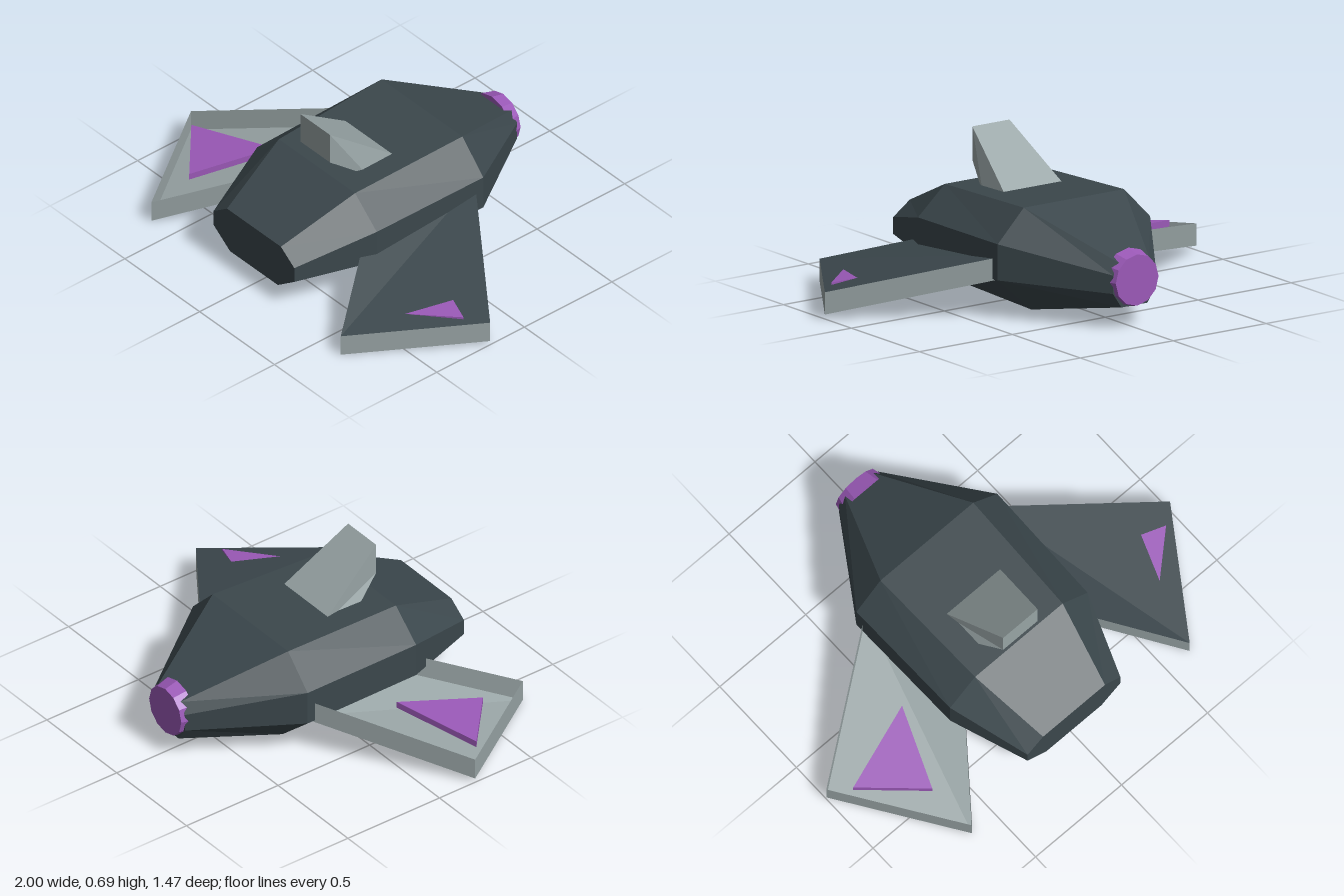
import * as THREE from 'three';

const flat = (name, color, extra = {}) => Object.assign(
  new THREE.MeshStandardMaterial({ color, flatShading: true, ...extra }), { name });

// Skin a stack of matching rings; each ring is counter-clockwise seen from the first end.
function loft(rings, capStart = true, capEnd = true) {
  const n = rings[0].length;
  const pos = [];
  const tri = (a, b, c) => pos.push(...a, ...b, ...c);
  for (let i = 0; i < rings.length - 1; i++) {
    for (let j = 0; j < n; j++) {
      const k = (j + 1) % n;
      const a = rings[i][j], b = rings[i][k], c = rings[i + 1][k], d = rings[i + 1][j];
      tri(a, d, b);
      tri(b, d, c);
    }
  }
  const first = rings[0], last = rings[rings.length - 1];
  for (let j = 1; j < n - 1; j++) {
    if (capStart) tri(first[0], first[j], first[j + 1]);
    if (capEnd) tri(last[0], last[j + 1], last[j]);
  }
  const geo = new THREE.BufferGeometry();
  geo.setAttribute('position', new THREE.Float32BufferAttribute(pos, 3));
  geo.computeVertexNormals();
  return geo;
}

// Octagonal hull section
function octagon({ z, top, bottom, upper, lower, side, topHalf, bottomHalf }) {
  const right = [[bottomHalf, bottom], [side, lower], [side, upper], [topHalf, top]];
  const left = right.map(([x, y]) => [-x, y]).reverse();
  return [...right, ...left].map(([x, y]) => [x, y, z]);
}

// Mirror a ring across x = 0, keeping its first corner and its winding sense
const mirrorRing = (ring) => {
  const [first, ...rest] = ring.map(([x, y, z]) => [-x, y, z]);
  return [first, ...rest.reverse()];
};

const lower = (ring, h) => ring.map(([x, y, z]) => [x, y - h, z]);

export function createModel() {
  const model = new THREE.Group();
  model.name = 'spacecraft';
  const charcoal = flat('charcoal', 0x3b474c);
  const grey = flat('grey', 0x98a4a5, { side: THREE.DoubleSide });
  const purple = flat('purple', 0x9b59b8);

  const add = (name, geo, mat, parent = model) => {
    const mesh = new THREE.Mesh(geo, mat);
    mesh.name = name;
    parent.add(mesh);
    return mesh;
  };

  // Faceted hull, nose to tail
  const sections = [
    { z: 0.69, top: 0.31, upper: 0.245, lower: 0.17, bottom: 0.09, topHalf: 0.18, side: 0.27, bottomHalf: 0.16 },
    { z: 0.33, top: 0.468, upper: 0.34, lower: 0.18, bottom: 0.04, topHalf: 0.255, side: 0.40, bottomHalf: 0.22 },
    { z: -0.27, top: 0.49, upper: 0.347, lower: 0.185, bottom: 0.027, topHalf: 0.27, side: 0.41, bottomHalf: 0.23 },
    { z: -0.715, top: 0.305, upper: 0.255, lower: 0.172, bottom: 0.105, topHalf: 0.08, side: 0.115, bottomHalf: 0.07 },
  ];
  add('hull', loft(sections.map(octagon)), charcoal);

  // Engine nozzle, slightly narrower at its outlet
  const nozzle = add('engineNozzle', new THREE.CylinderGeometry(0.132, 0.115, 0.065, 12), purple);
  nozzle.rotation.x = Math.PI / 2;
  nozzle.position.set(0, 0.222, -0.7025);

  // Forward-leaning dorsal fin
  add('dorsalFin', loft([
    [[0.1, 0.55, 0.34], [0.1, 0.70, 0.34], [-0.1, 0.70, 0.34], [-0.1, 0.55, 0.34]],
    [[0.16, 0.44, 0.18], [0.165, 0.44, -0.02], [-0.165, 0.44, -0.02], [-0.16, 0.44, 0.18]],
  ]), grey);

  // Wings: grey shells with a triangular panel; only the left one has a dark lid
  const wingTop = [[0.35, 0.29, -0.273], [0.30, 0.255, 0.31], [0.633, 0.105, 0.735], [1, 0.125, 0.195]];
  const panelTop = [[0.91, 0.139, 0.27], [0.51, 0.18, 0.14], [0.655, 0.131, 0.50]];
  for (const side of ['left', 'right']) {
    const isLeft = side === 'left';
    const top = isLeft ? wingTop : mirrorRing(wingTop);
    const panel = isLeft ? panelTop : mirrorRing(panelTop);
    const wing = new THREE.Group();
    wing.name = side + 'Wing';
    add(side + 'WingShell', loft([top, lower(top, 0.1)], false, true), grey, wing);
    if (isLeft) add('leftWingLid', loft([top], true, false), charcoal, wing);
    add(side + 'WingPanel', loft([panel, lower(panel, 0.03)]), purple, wing);
    model.add(wing);
  }

  return model;
}
